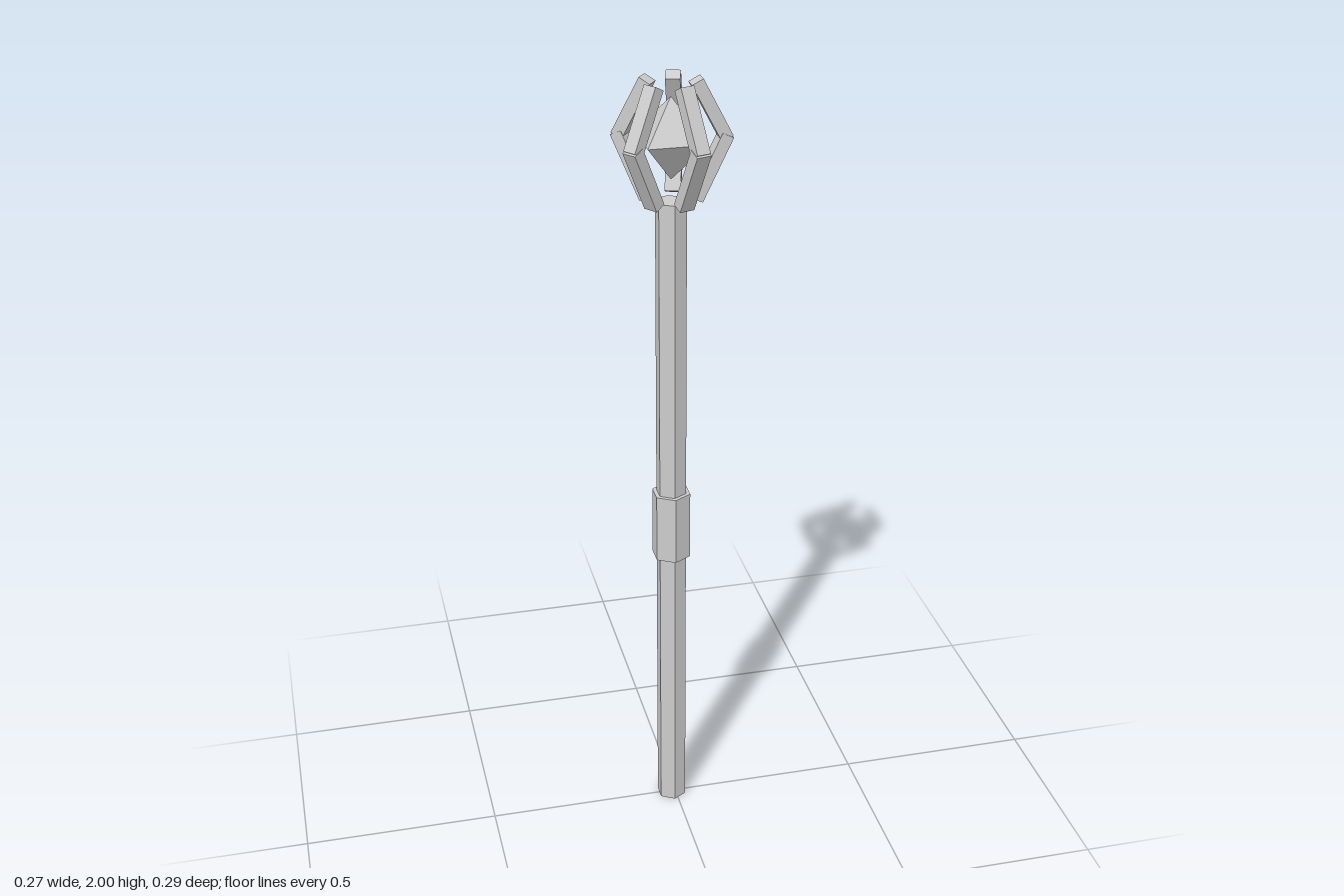
import * as THREE from 'three';

export function createModel() {
  const grey = new THREE.MeshStandardMaterial({ color: 0xcccccc });
  grey.name = 'lightGrey';

  const staff = new THREE.Group();
  staff.name = 'staff';
  staff.position.x = -0.01;

  const add = (name, geometry, parent, y = 0) => {
    // Unshared vertices with face normals keep every facet flat
    const flat = geometry.index ? geometry.toNonIndexed() : geometry;
    flat.computeVertexNormals();
    const mesh = new THREE.Mesh(flat, grey);
    mesh.name = name;
    mesh.position.y = y;
    parent.add(mesh);
    return mesh;
  };

  // Hexagonal shaft and grip
  add('shaft', new THREE.CylinderGeometry(0.039, 0.039, 1.71, 6), staff, 0.855);
  add('grip', new THREE.CylinderGeometry(0.05, 0.05, 0.181, 6), staff, 0.848);

  // Floating crystal
  add('crystal', new THREE.OctahedronGeometry(0.099).rotateY(Math.PI / 4), staff, 1.861);

  // Bar with the given side profile, centred on its width
  const bar = (points, width) => new THREE.ExtrudeGeometry(
    new THREE.Shape(points.map(([x, y]) => new THREE.Vector2(x, y))),
    { depth: width, bevelEnabled: false }
  ).translate(0, 0, -width / 2);

  const lower = [[0.072, 1.706], [0.145, 1.857], [0.118, 1.869], [0.045, 1.718]];
  const upper = [[0.144, 1.862], [0.072, 2], [0.045, 1.986], [0.117, 1.848]];

  // Five bent claws around the crystal
  for (let i = 0; i < 5; i++) {
    const claw = new THREE.Group();
    claw.name = `claw${i + 1}`;
    claw.rotation.y = (i * Math.PI * 2) / 5;
    add('lowerClaw', bar(lower, 0.038), claw);
    add('upperClaw', bar(upper, 0.035), claw);
    staff.add(claw);
  }

  const model = new THREE.Group();
  model.name = 'model';
  model.add(staff);
  return model;
}
